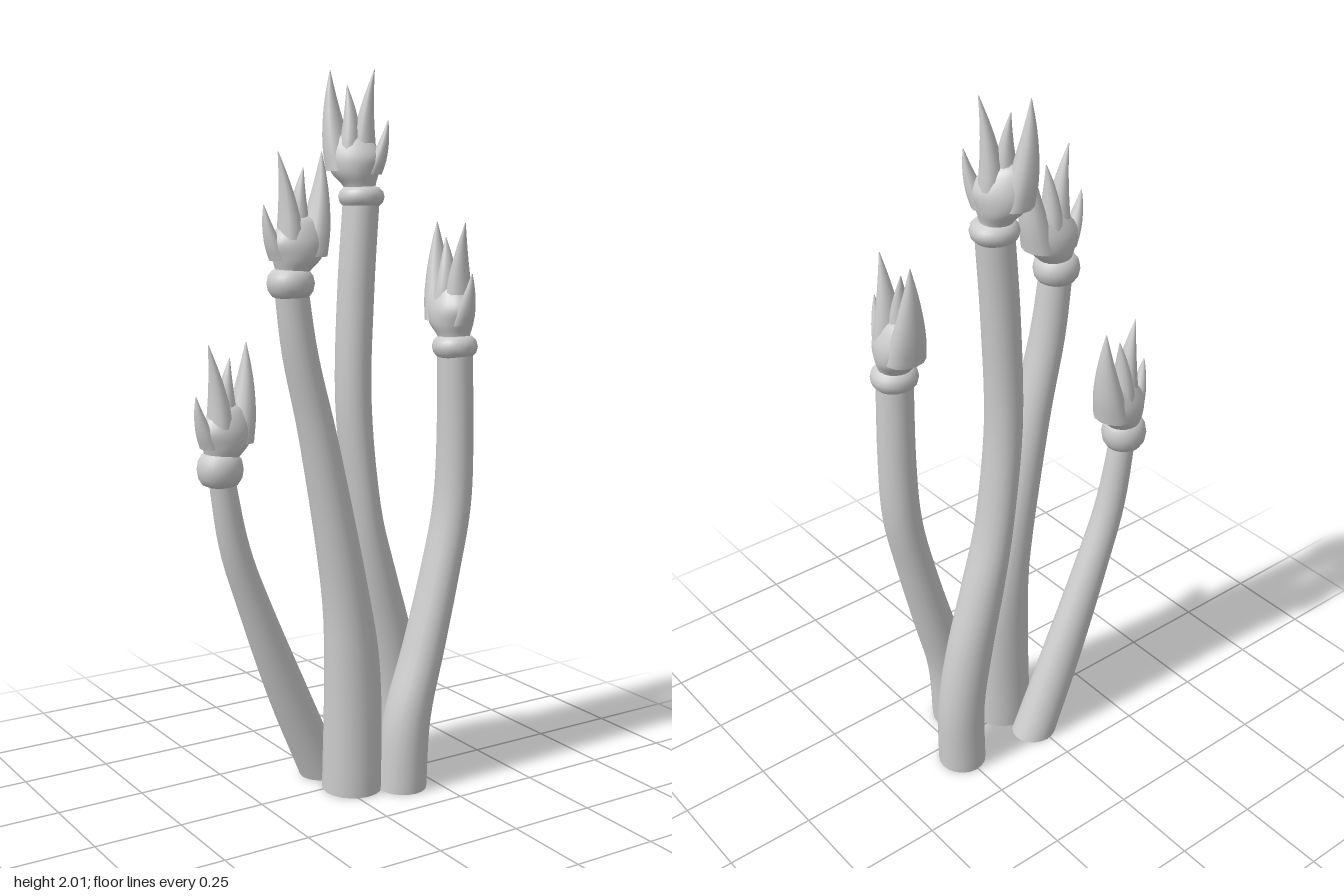
import * as THREE from 'three';

const material = new THREE.MeshStandardMaterial({ color: 0xcccccc });

// Smooth closed body through level rings [x, y, z, rx, rz], with flat end caps
function ringBody(name, rings, sides = 20, steps = 5) {
  const path = new THREE.CatmullRomCurve3(
    rings.map(([x, y, z]) => new THREE.Vector3(x, y, z)), false, 'catmullrom');
  const radii = new THREE.CatmullRomCurve3(
    rings.map(([, , , rx, rz]) => new THREE.Vector3(rx, rz, 0)), false, 'catmullrom');
  const count = (rings.length - 1) * steps;
  const positions = [], indices = [];

  const addRing = (t) => {
    const c = path.getPoint(t), r = radii.getPoint(t);
    for (let j = 0; j < sides; j++) {
      const a = (j / sides) * Math.PI * 2;
      positions.push(c.x + Math.cos(a) * r.x, c.y, c.z + Math.sin(a) * r.y);
    }
    return c;
  };

  for (let i = 0; i <= count; i++) addRing(i / count);
  for (let i = 0; i < count; i++) {
    for (let j = 0; j < sides; j++) {
      const k = (j + 1) % sides;
      const a = i * sides + j, b = i * sides + k;
      indices.push(a, a + sides, b, b, a + sides, b + sides);
    }
  }
  // Caps have their own vertices so their rims stay sharp
  for (const t of [0, 1]) {
    const start = positions.length / 3;
    const c = addRing(t);
    positions.push(c.x, c.y, c.z);
    for (let j = 0; j < sides; j++) {
      const a = start + j, b = start + ((j + 1) % sides), mid = start + sides;
      indices.push(mid, ...(t === 0 ? [a, b] : [b, a]));
    }
  }
  const geometry = new THREE.BufferGeometry();
  geometry.setAttribute('position', new THREE.Float32BufferAttribute(positions, 3));
  geometry.setIndex(indices);
  geometry.computeVertexNormals();
  const mesh = new THREE.Mesh(geometry, material);
  mesh.name = name;
  return mesh;
}

// Curved spike from base to tip in the plane at depth z, thinning to a point
function prong(name, base, bend, tip, z, radius) {
  const curve = new THREE.QuadraticBezierCurve(
    ...[base, bend, tip].map(([x, y]) => new THREE.Vector2(x, y)));
  const rings = [0, 0.25, 0.5, 0.75, 1].map((t) => {
    const p = curve.getPoint(t);
    const r = radius * (1 - t ** 1.4) + 0.001;
    return [p.x, p.y, z * (1 - t / 2), r, r * 1.25];
  });
  return ringBody(name, rings, 12);
}

// Pointed bloom: collar, lopsided cup and a row of prongs, broadest petal at +x
function createBloom(collarHeight) {
  const bloom = new THREE.Group();
  bloom.name = 'bloom';

  const collar = new THREE.Mesh(new THREE.TorusGeometry(0.034, 0.03, 12, 28), material);
  collar.rotation.x = Math.PI / 2;
  collar.scale.z = collarHeight / 0.06;
  collar.name = 'collar';

  const cup = ringBody('cup', [
    [0, 0, 0, 0.04, 0.04],
    [0.006, 0.03, 0, 0.045, 0.046],
    [0.018, 0.065, 0, 0.066, 0.059],
    [0.022, 0.11, 0, 0.08, 0.057],
    [0.034, 0.16, 0, 0.054, 0.034],
    [0.038, 0.18, 0, 0.01, 0.008],
  ]);

  bloom.add(
    collar,
    cup,
    prong('lowProng', [-0.03, 0.06], [-0.065, 0.13], [-0.075, 0.205], 0, 0.026),
    prong('tallProng', [-0.005, 0.09], [0, 0.2], [-0.035, 0.34], 0.008, 0.036),
    prong('middleProng', [0.03, 0.09], [0.02, 0.2], [0.04, 0.3], -0.012, 0.034),
    prong('broadPetal', [0.055, 0.07], [0.09, 0.2], [0.09, 0.34], 0, 0.044),
  );
  return bloom;
}

// Stalk from rings [x, y, radius]; its depth radius tapers evenly from foot to top
function createStalk(name, z, footDepth, topDepth, turn, collarHeight, profile) {
  const [topX, topY] = profile[profile.length - 1];
  const rings = profile.map(([x, y, r]) =>
    [x, y, z, r, THREE.MathUtils.lerp(footDepth, topDepth, y / topY)]);
  const bloom = createBloom(collarHeight);
  bloom.position.set(topX, topY, z);
  bloom.rotation.y = turn;
  const stalk = new THREE.Group();
  stalk.name = name;
  stalk.add(ringBody('stem', rings), bloom);
  return stalk;
}

export function createModel() {
  const model = new THREE.Group();
  model.name = 'stalkCluster';
  model.add(
    createStalk('shortStalk', -0.107, 0.063, 0.036, 0.12, 0.095, [
      [0.012, 0, 0.066], [-0.095, 0.25, 0.063], [-0.205, 0.53, 0.05],
      [-0.27, 0.72, 0.043], [-0.31, 0.94, 0.036]]),
    createStalk('mediumStalk', 0.027, 0.088, 0.046, -0.12, 0.08, [
      [0.03, 0, 0.085], [0.03, 0.35, 0.08], [0.003, 0.6, 0.064],
      [-0.075, 1, 0.052], [-0.135, 1.25, 0.048], [-0.164, 1.445, 0.045]]),
    createStalk('tallStalk', -0.067, 0.071, 0.052, 2.28, 0.06, [
      [0.255, 0, 0.068], [0.253, 0.2, 0.067], [0.218, 0.4, 0.067], [0.168, 0.6, 0.058],
      [0.125, 0.8, 0.047], [0.093, 1.1, 0.048], [0.1, 1.4, 0.05], [0.118, 1.665, 0.05]]),
    createStalk('frontStalk', 0.095, 0.074, 0.053, Math.PI / 2, 0.065, [
      [0.155, 0, 0.07], [0.172, 0.2, 0.066], [0.227, 0.4, 0.058], [0.278, 0.6, 0.053],
      [0.32, 0.8, 0.051], [0.329, 1, 0.049], [0.324, 1.255, 0.048]]),
  );
  return model;
}
